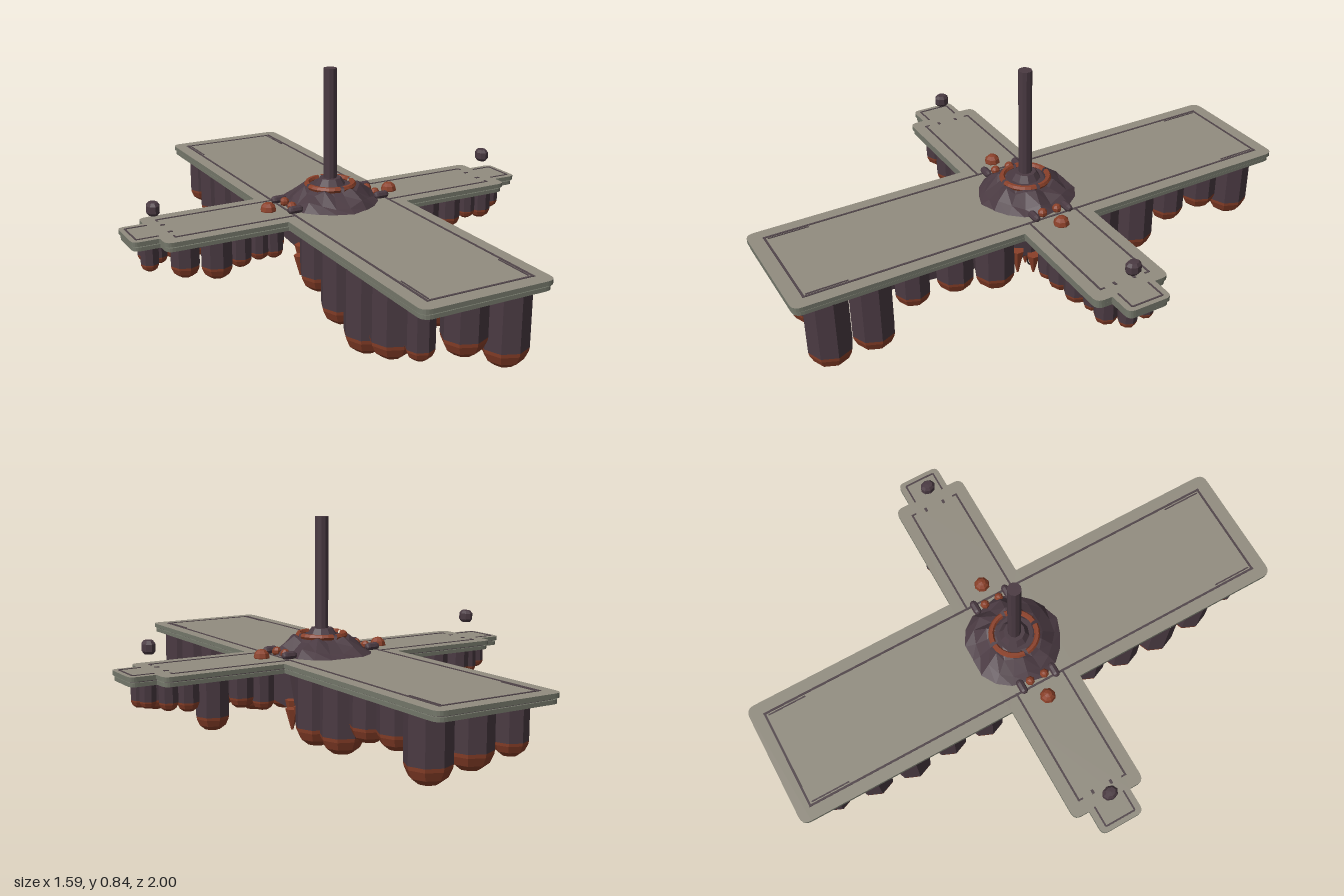
import * as THREE from 'three';

const mat = (name, color) => new THREE.MeshStandardMaterial({ name, color });

// Faceted normals for the low-poly look
function facet(geometry) {
  const g = geometry.index ? geometry.toNonIndexed() : geometry;
  g.computeVertexNormals();
  return g;
}

// Stepped cross outline with rounded outer corners, shrunk by d
function crossShape(d) {
  const quarter = [[0.245, 1, 0.035], [0.245, 0.145, 0.004], [0.7, 0.145, 0.03], [0.7, 0.085, 0.004], [0.795, 0.085, 0.025]]
    .map(([x, y, r]) => [x - d, y - d, r]);
  const back = [...quarter].reverse();
  const pts = [
    ...quarter,
    ...back.map(([x, y, r]) => [x, -y, r]),
    ...quarter.map(([x, y, r]) => [-x, -y, r]),
    ...back.map(([x, y, r]) => [-x, y, r]),
  ];
  const toward = (a, b, r) => {
    const l = Math.hypot(b[0] - a[0], b[1] - a[1]);
    return [a[0] + (b[0] - a[0]) * r / l, a[1] + (b[1] - a[1]) * r / l];
  };
  const shape = new THREE.Shape();
  pts.forEach((p, i) => {
    const a = toward(p, pts[(i + pts.length - 1) % pts.length], p[2]);
    const b = toward(p, pts[(i + 1) % pts.length], p[2]);
    if (i === 0) shape.moveTo(...a); else shape.lineTo(...a);
    shape.quadraticCurveTo(p[0], p[1], ...b);
  });
  shape.closePath();
  return shape;
}

export function createModel() {
  const model = new THREE.Group();
  const stone = mat('stone', 0x928d80);
  const edge = mat('stoneEdge', 0x74776a);
  const dark = mat('darkPlum', 0x4a3a42);
  const rust = mat('rust', 0x8a4029);
  const groove = mat('groove', 0x51454a);
  const black = mat('black', 0x1c1a1c);

  const add = (name, geometry, material, x = 0, y = 0, z = 0, parent = model) => {
    const m = new THREE.Mesh(geometry, material);
    m.name = name;
    m.position.set(x, y, z);
    parent.add(m);
    return m;
  };

  // Deck in three stacked layers with a recessed middle band
  const layer = (name, d, y, h, material) => {
    const g = new THREE.ExtrudeGeometry(crossShape(d), { depth: h, bevelEnabled: false, curveSegments: 5 });
    add(name, g.rotateX(-Math.PI / 2), material, 0, y, 0);
  };
  layer('deckBase', 0.005, 0.305, 0.014, edge);
  layer('deckBand', 0.012, 0.319, 0.005, groove);
  layer('deckTop', 0, 0.324, 0.016, [stone, edge]);

  // Thin inlaid lines on the deck
  const line = (x, z, w, d) => add('deckLine', new THREE.BoxGeometry(w, 0.003, d), groove, x, 0.3405, z);
  for (const s of [-1, 1]) {
    line(s * 0.195, 0, 0.008, 1.9);
    line(0, s * 0.945, 0.39, 0.008);
    for (const t of [-1, 1]) {
      line(s * 0.184, t * 0.86, 0.005, 0.15);
      line(s * 0.42, t * 0.097, 0.46, 0.007);
      line(s * 0.648, t * 0.09, 0.006, 0.02);
      line(s * 0.645, t * 0.038, 0.016, 0.01);
      line(s * 0.735, t * 0.06, 0.08, 0.006);
    }
    line(s * 0.775, 0, 0.006, 0.12);
  }

  // Hanging columns: octagonal shaft with a rounded rust tip
  const column = (x, z, r, bottom) => {
    const group = new THREE.Group();
    group.name = 'hangingColumn';
    group.position.set(x, 0, z);
    model.add(group);
    const h = r * 0.85, top = 0.307, len = top - bottom - h;
    add('columnShaft', facet(new THREE.CylinderGeometry(r, r, len, 8, 1, true)), dark, 0, top - len / 2, 0, group);
    const profile = [[0, 0], [0.45, 0.04], [0.8, 0.36], [0.97, 0.8], [1, 1]]
      .map(([a, b]) => new THREE.Vector2(a * r, b * h));
    add('columnTip', facet(new THREE.LatheGeometry(profile, 8)), rust, 0, bottom, 0, group);
  };
  // Long wing: [z, left bottom, left radius, right bottom, right radius]
  for (const [z, a, ra, b, rb] of [
    [0.865, 0.11, 0.048, 0.015, 0.08], [0.705, 0.05, 0.075, 0.02, 0.078],
    [0.55, 0.003, 0.08, 0.145, 0.065], [0.385, 0.04, 0.077, 0.145, 0.07],
    [0.225, 0.1, 0.075, 0.1, 0.075], [-0.225, 0.08, 0.075, 0.06, 0.077],
    [-0.385, 0.09, 0.075, 0.065, 0.077], [-0.545, 0.05, 0.078, 0.14, 0.065],
    [-0.7, 0.085, 0.075, 0.15, 0.068], [-0.855, 0.12, 0.06, 0.08, 0.077],
  ]) {
    column(-0.162, z, ra, a);
    column(0.162, z, rb, b);
  }
  column(0, 0.865, 0.076, 0.09);
  column(0, -0.855, 0.076, 0.1);
  column(0, 0.71, 0.07, 0.13);
  column(0, -0.7, 0.07, 0.13);
  // Side arms: [x, radius, bottom, z]
  for (const [x, r, b, z] of [
    [0.29, 0.042, 0.155, 0.07], [0.29, 0.04, 0.17, -0.07], [0.38, 0.05, 0.17, 0.075], [0.38, 0.045, 0.19, -0.075],
    [0.49, 0.06, 0.125, -0.07], [0.48, 0.048, 0.18, 0.075], [0.57, 0.035, 0.2, 0.07], [0.58, 0.04, 0.2, -0.07],
    [0.64, 0.042, 0.19, 0.065], [0.65, 0.035, 0.21, -0.065], [0.713, 0.033, 0.21, 0.03], [0.713, 0.03, 0.22, -0.04],
    [-0.27, 0.035, 0.19, 0.07], [-0.28, 0.042, 0.18, -0.07], [-0.33, 0.035, 0.195, 0.075], [-0.37, 0.04, 0.19, -0.07],
    [-0.4, 0.042, 0.18, 0.07], [-0.49, 0.058, 0.155, 0.07], [-0.48, 0.045, 0.19, -0.075], [-0.605, 0.053, 0.18, 0.065],
    [-0.59, 0.045, 0.2, -0.07], [-0.66, 0.033, 0.2, -0.05], [-0.72, 0.033, 0.21, 0.03], [-0.71, 0.03, 0.22, -0.04],
  ]) column(x, z, r, b);

  // Sloping keels under the long wing
  for (const s of [-1, 1]) {
    const keel = new THREE.Shape([[0, 0.305], [0.64, 0.305], [0.64, 0.15], [0, 0.09]].map(p => new THREE.Vector2(...p)));
    const g = new THREE.ExtrudeGeometry(keel, { depth: 0.12, bevelEnabled: false }).translate(0, 0, -0.06);
    add('keel', g, dark).rotation.y = -s * Math.PI / 2;
  }

  // Underside hub with a ring of pointed studs
  add('hub', facet(new THREE.CylinderGeometry(0.13, 0.1, 0.19, 10)), dark, 0, 0.21, 0);
  for (const [n, R, r, tip] of [[12, 0.115, 0.026, 0.05], [6, 0.055, 0.025, 0.055]]) {
    for (let i = 0; i < n; i++) {
      const a = (i + 0.5) / n * Math.PI * 2;
      const h = 0.08 + 0.02 * (i % 2);
      add('hubStud', facet(new THREE.CylinderGeometry(r, 0.004, h, 6)), rust, Math.cos(a) * R, tip + h / 2, Math.sin(a) * R);
    }
  }
  // Small hook with two rings
  add('hookBar', new THREE.BoxGeometry(0.06, 0.005, 0.005), black, 0, 0.046, 0);
  for (const s of [-1, 1]) {
    add('hookStem', new THREE.CylinderGeometry(0.003, 0.003, 0.06, 6), black, s * 0.022, 0.075, 0);
    add('hookRing', new THREE.TorusGeometry(0.011, 0.003, 6, 12), black, s * 0.028, 0.035, 0);
  }

  // Ragged mound on the deck
  const moundProfile = [[0.185, 0.338], [0.15, 0.362], [0.105, 0.395], [0.07, 0.405], [0, 0.405]]
    .map(p => new THREE.Vector2(...p));
  const mound = new THREE.LatheGeometry(moundProfile, 18);
  const p = mound.attributes.position;
  for (let i = 0; i < p.count; i++) {
    const a = Math.round(Math.atan2(p.getZ(i), p.getX(i)) / (Math.PI / 9));
    const wobble = 1 + 0.04 * Math.sin(a * Math.PI / 9 * 5);
    p.setX(i, p.getX(i) * wobble);
    p.setZ(i, p.getZ(i) * wobble);
    if (p.getY(i) > 0.35 && p.getY(i) < 0.4) p.setY(i, p.getY(i) + 0.011 * Math.sin(a * Math.PI / 9 * 6));
  }
  const moundMat = dark.clone();
  moundMat.side = THREE.DoubleSide;
  add('mound', facet(mound), moundMat);

  // Rust ring in four arcs, collar and mast
  for (let i = 0; i < 4; i++) {
    const arc = new THREE.TorusGeometry(0.086, 0.011, 6, 6, Math.PI / 2 - 0.14).rotateX(-Math.PI / 2);
    add('ringArc', facet(arc), rust, 0, 0.405, 0).rotation.y = i * Math.PI / 2 + 0.07;
  }
  add('mastCollar', facet(new THREE.CylinderGeometry(0.04, 0.06, 0.03, 10)), dark, 0, 0.415, 0);
  add('mast', facet(new THREE.CylinderGeometry(0.025, 0.025, 0.44, 10)), dark, 0, 0.62, 0);

  for (const s of [-1, 1]) {
    // Rust knobs beside the mound
    add('knob', facet(new THREE.SphereGeometry(0.03, 8, 6)), rust, s * 0.255, 0.343, 0);
    for (const t of [-1, 1]) {
      const peg = new THREE.CapsuleGeometry(0.015, 0.03, 3, 8).rotateZ(Math.PI / 2);
      add('peg', facet(peg), dark, s * 0.18, 0.352, t * 0.068);
      add('pegKnob', facet(new THREE.SphereGeometry(0.018, 7, 5)), rust, s * 0.175, 0.352, t * 0.03);
    }
    // Floating lanterns over the arm tips
    const lantern = new THREE.LatheGeometry([[0, -0.024], [0.016, -0.023], [0.024, -0.012], [0.024, 0.012], [0.016, 0.023], [0, 0.024]]
      .map(q => new THREE.Vector2(...q)), 8);
    add('lantern', facet(lantern), dark, s * 0.69, 0.42, 0).scale.z = 1.2;
  }
  return model;
}
